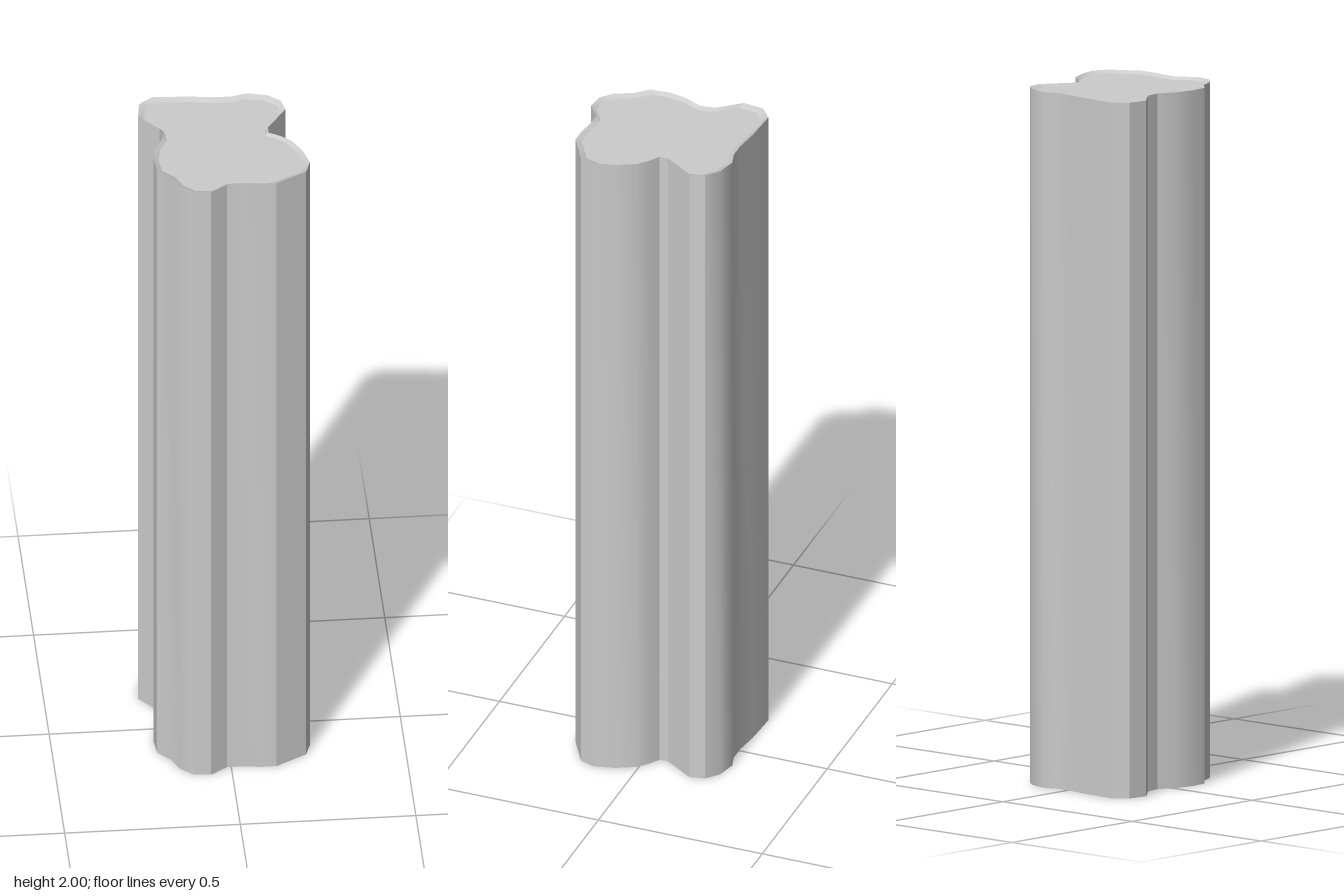
import * as THREE from 'three';
import { toCreasedNormals } from 'three/addons/utils/BufferGeometryUtils.js';

// Lobed outline as [x, z], starting at the back right corner of the plan
const OUTLINE = [
  [-0.185, -0.247], [-0.08, -0.241], [-0.01, -0.231], [0.04, -0.231], [0.083, -0.243],
  [0.14, -0.229], [0.177, -0.198], [0.186, -0.153], [0.129, -0.066], [0.129, -0.04],
  [0.161, -0.02], [0.19, 0.006], [0.217, 0.06], [0.232, 0.119], [0.217, 0.165],
  [0.128, 0.217], [0.083, 0.217], [0.033, 0.21], [-0.012, 0.21], [-0.06, 0.244],
  [-0.11, 0.239], [-0.146, 0.206], [-0.167, 0.158], [-0.203, 0.121], [-0.208, 0.064],
  [-0.198, 0.01], [-0.173, -0.042], [-0.178, -0.087], [-0.233, -0.154], [-0.225, -0.215],
];
const HEIGHT = 2, DISH = 0.008, INSET = 0.93;

// Closed band between two scaled copies of the outline
function band(y0, s0, y1, s1) {
  const positions = [];
  OUTLINE.forEach(([x, z], i) => {
    const [u, w] = OUTLINE[(i + 1) % OUTLINE.length];
    const a = [x * s0, y0, z * s0], b = [x * s1, y1, z * s1];
    const c = [u * s1, y1, w * s1], d = [u * s0, y0, w * s0];
    positions.push(...a, ...b, ...c, ...a, ...c, ...d);
  });
  const geometry = new THREE.BufferGeometry();
  geometry.setAttribute('position', new THREE.Float32BufferAttribute(positions, 3));
  return toCreasedNormals(geometry, Math.PI / 6);
}

export function createModel() {
  const group = new THREE.Group();
  group.name = 'column';
  const material = new THREE.MeshStandardMaterial({ color: 0xcccccc, side: THREE.DoubleSide });
  const add = (name, geometry) => {
    const mesh = new THREE.Mesh(geometry, material);
    mesh.name = name;
    group.add(mesh);
    return mesh;
  };

  // Straight wall, open at the bottom
  add('wall', band(0, 1, HEIGHT, 1));

  // Shallow slope from the rim down to the dished top
  add('rim', band(HEIGHT, 1, HEIGHT - DISH, INSET));

  // Flat top
  const shape = new THREE.Shape(OUTLINE.map(([x, z]) => new THREE.Vector2(x * INSET, -z * INSET)));
  add('top', new THREE.ShapeGeometry(shape).rotateX(-Math.PI / 2)).position.y = HEIGHT - DISH;

  return group;
}
